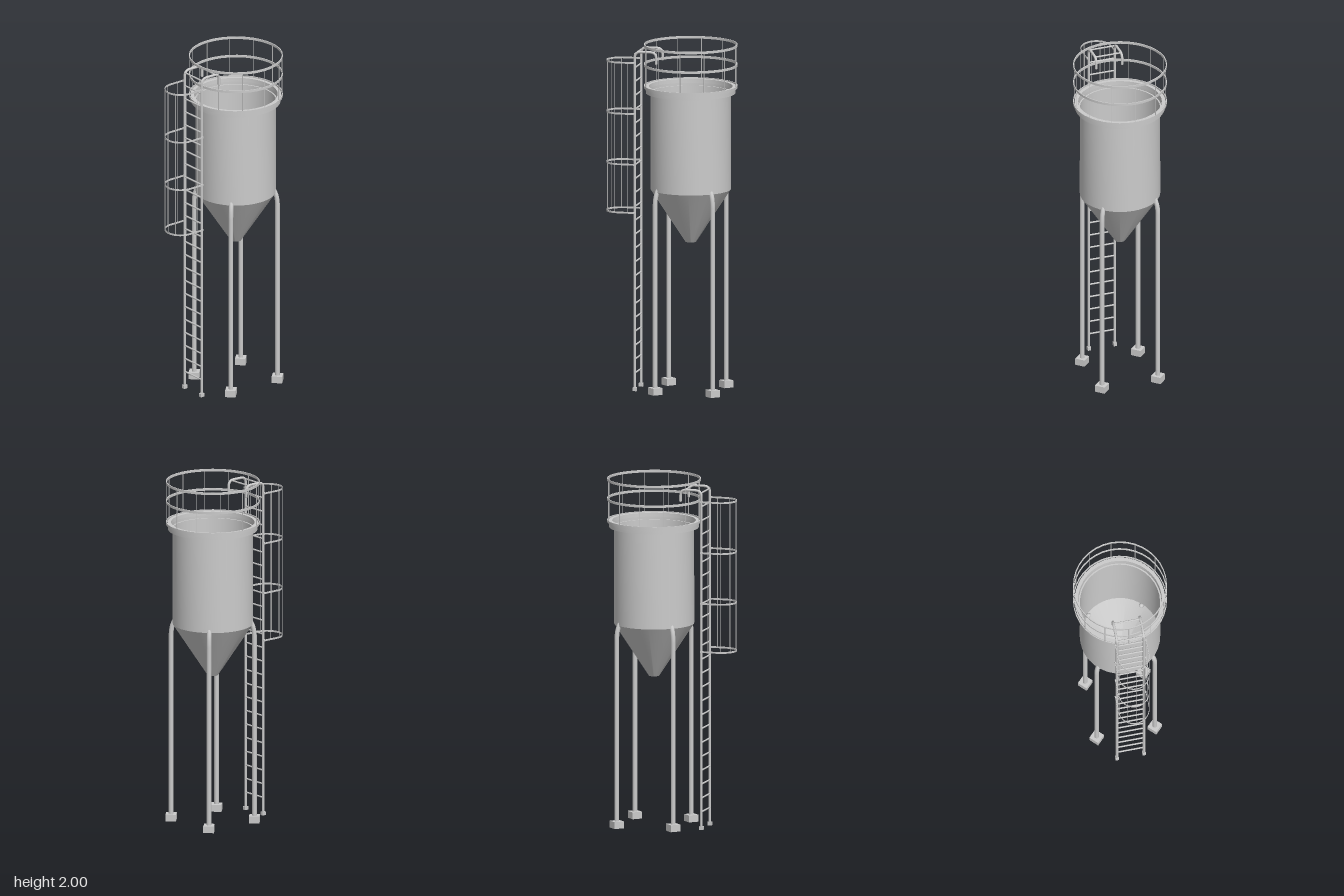
import * as THREE from 'three';
import { toCreasedNormals } from 'three/addons/utils/BufferGeometryUtils.js';

const TANK_X = 0.11;
const mat = new THREE.MeshStandardMaterial({ color: 0xcccccc });
const open = new THREE.MeshStandardMaterial({ color: 0xcccccc, side: THREE.DoubleSide });
const V = (x, y, z = 0) => new THREE.Vector3(x, y, z);

function add(parent, name, geometry, x = 0, y = 0, z = 0, material = mat) {
  const mesh = new THREE.Mesh(geometry, material);
  mesh.name = name;
  mesh.position.set(x, y, z);
  parent.add(mesh);
  return mesh;
}

function lathe(points) {
  const profile = points.map(([r, y]) => new THREE.Vector2(r, y));
  return toCreasedNormals(new THREE.LatheGeometry(profile, 36), 0.4);
}

// Upright bar from y0 to y1
function bar(parent, name, r, x, z, y0, y1, sides = 12) {
  return add(parent, name, new THREE.CylinderGeometry(r, r, y1 - y0, sides), x, (y0 + y1) / 2, z);
}

// Bar along z, centred on z = 0
function crossBar(parent, name, r, x, y, length) {
  add(parent, name, new THREE.CylinderGeometry(r, r, length, 8), x, y, 0).rotation.x = Math.PI / 2;
}

function makeTank() {
  const tank = new THREE.Group();
  tank.name = 'tank';
  // Cylinder wall and funnel, with an open outlet
  add(tank, 'hopper', lathe([
    [0.022, 0.875], [0.022, 0.86], [0.03, 0.86], [0.229, 1.165], [0.228, 1.72],
    [0.236, 1.72], [0.236, 1.735],
  ]), 0, 0, 0, open);
  add(tank, 'outletLip', lathe([[0.022, 0.875], [0.035, 0.875]]), 0, 0, 0, open);
  // Stepped flange around the open mouth
  add(tank, 'flange', lathe([
    [0.236, 1.718], [0.255, 1.718], [0.255, 1.738], [0.258, 1.738],
    [0.258, 1.757], [0.238, 1.757], [0.236, 1.718],
  ]), 0, 0, 0, open);
  return tank;
}

function makeRailing() {
  const railing = new THREE.Group();
  railing.name = 'railing';
  for (const y of [1.755, 1.88, 1.993]) {
    add(railing, 'railHoop', lathe([
      [0.262, y - 0.007], [0.267, y - 0.007], [0.267, y + 0.007],
      [0.262, y + 0.007], [0.262, y - 0.007],
    ]), 0, 0, 0, open);
  }
  const posts = 12;
  for (let i = 0; i < posts; i++) {
    const a = (i / posts) * Math.PI * 2;
    bar(railing, 'railPost', 0.002, 0.2645 * Math.cos(a), 0.2645 * Math.sin(a), 1.75, 1.995, 6);
  }
  return railing;
}

function makeLeg(angle) {
  const leg = new THREE.Group();
  leg.name = 'leg';
  leg.rotation.y = angle;
  const r = 0.0135;
  add(leg, 'foot', new THREE.BoxGeometry(0.06, 0.04, 0.06), 0.238, 0.02, 0);
  bar(leg, 'legPost', r, 0.238, 0, 0.04, 1.075, 16);
  // Upper end bends in to the tank
  const bend = new THREE.CatmullRomCurve3([
    V(0.238, 1.07), V(0.2375, 1.1), V(0.233, 1.135), V(0.225, 1.16), V(0.216, 1.178),
  ]);
  add(leg, 'legBend', new THREE.TubeGeometry(bend, 14, r, 16), 0, 0, 0, open);
  add(leg, 'legTip', new THREE.SphereGeometry(r, 16, 10), 0.216, 1.178, 0);
  return leg;
}

function makeLadder() {
  const ladder = new THREE.Group();
  ladder.name = 'ladder';
  const r = 0.0075, x = -0.198, xIn = -0.073, top = 1.955, c = 0.035;
  for (const z of [-0.078, 0.078]) {
    add(ladder, 'ladderFoot', new THREE.BoxGeometry(0.024, 0.02, 0.02), x, 0.01, z);
    bar(ladder, 'ladderRail', r, x, z, 0.01, top - c);
    // Handhold arch curving over the rim
    const arch = new THREE.CurvePath();
    arch.add(new THREE.QuadraticBezierCurve3(V(x, top - c, z), V(x, top, z), V(x + c, top, z)));
    arch.add(new THREE.LineCurve3(V(x + c, top, z), V(xIn - c, top, z)));
    arch.add(new THREE.QuadraticBezierCurve3(V(xIn - c, top, z), V(xIn, top, z), V(xIn, top - c, z)));
    arch.add(new THREE.LineCurve3(V(xIn, top - c, z), V(xIn, 1.89, z)));
    add(ladder, 'handhold', new THREE.TubeGeometry(arch, 48, r, 12), 0, 0, 0, open);
    add(ladder, 'handholdTip', new THREE.SphereGeometry(r, 12, 8), xIn, 1.89, z);
  }
  for (let i = 0; i < 24; i++) crossBar(ladder, 'rung', 0.005, x, 0.103 + i * 0.08, 0.156);
  crossBar(ladder, 'handholdBrace', 0.005, -0.093, top - 0.003, 0.156);
  return ladder;
}

function makeCage() {
  const cage = new THREE.Group();
  cage.name = 'safetyCage';
  const cx = -0.29, R = 0.09, t = 0.003, xEnd = -0.2;
  // Flat U-shaped hoops open toward the ladder
  const u = new THREE.Shape();
  u.moveTo(xEnd, R);
  u.lineTo(cx, R);
  u.absarc(cx, 0, R, Math.PI / 2, Math.PI * 1.5, false);
  u.lineTo(xEnd, -R);
  u.lineTo(xEnd, -R + t);
  u.lineTo(cx, -R + t);
  u.absarc(cx, 0, R - t, Math.PI * 1.5, Math.PI / 2, true);
  u.lineTo(xEnd, R - t);
  const flat = new THREE.ExtrudeGeometry(u, { depth: 0.01, bevelEnabled: false, curveSegments: 24 });
  flat.rotateX(-Math.PI / 2);
  const hoop = toCreasedNormals(flat, 0.4);
  for (const y of [1.022, 1.3, 1.592, 1.886]) add(cage, 'cageHoop', hoop, 0, y, 0);
  // Thin uprights tying the hoops together
  const upright = (x, z) => bar(cage, 'cageUpright', 0.0017, x, z, 1.022, 1.895, 6);
  const q = R - t / 2;
  upright(cx - q, 0);
  for (const s of [-1, 1]) {
    for (const deg of [33, 74]) {
      const a = THREE.MathUtils.degToRad(deg);
      upright(cx - q * Math.cos(a), s * q * Math.sin(a));
    }
    upright(-0.24, s * q);
    // Brackets from hoop ends to the ladder rails
    for (const y of [1.027, 1.305, 1.597, 1.891]) {
      add(cage, 'cageBracket', new THREE.BoxGeometry(0.012, 0.01, 0.014), -0.2, y, s * 0.084);
    }
  }
  return cage;
}

export function createModel() {
  const model = new THREE.Group();
  model.name = 'silo';
  const silo = new THREE.Group();
  silo.name = 'siloBody';
  silo.position.x = TANK_X;
  silo.add(makeTank(), makeRailing());
  for (let i = 0; i < 4; i++) silo.add(makeLeg(Math.PI / 4 + (i * Math.PI) / 2));
  model.add(silo, makeLadder(), makeCage());
  return model;
}
